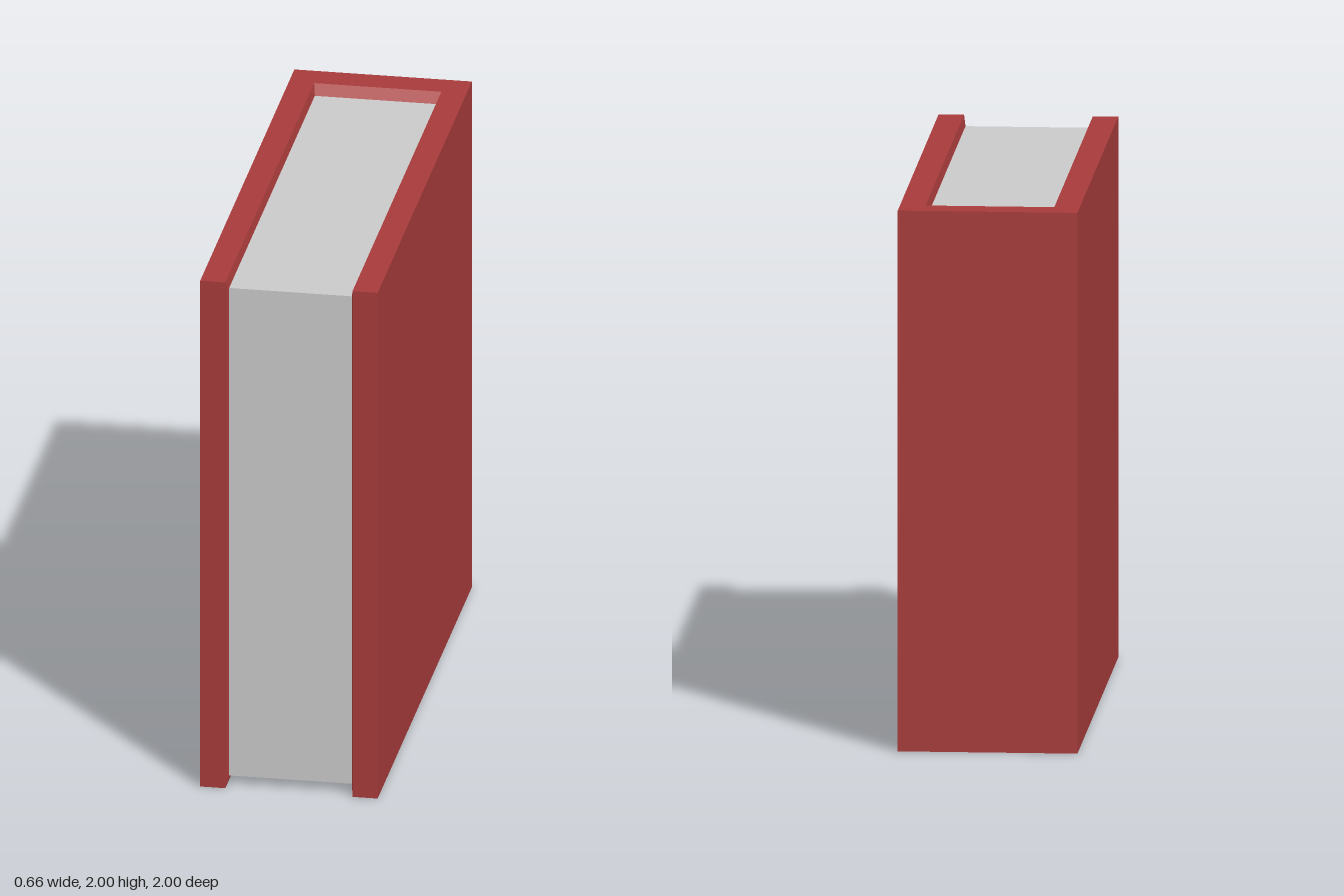
import * as THREE from 'three';

const RED = new THREE.MeshStandardMaterial({ color: 0xaa3c3c });
RED.name = 'red cover';
const GREY = new THREE.MeshStandardMaterial({ color: 0xcccccc });
GREY.name = 'grey paper';

// Eight-cornered loop around the open edges of the cover: over the top U,
// down one front edge, back along the bottom U and up the other front edge.
function edgeLoop(x, top, bottom, back, front) {
  return [
    [x, top, front], [x, top, back], [-x, top, back], [-x, top, front],
    [-x, bottom, front], [-x, bottom, back], [x, bottom, back], [x, bottom, front],
  ];
}

function quadMesh(name, quads, material) {
  const positions = [];
  for (const [a, b, c, d] of quads) positions.push(...a, ...b, ...c, ...a, ...c, ...d);
  const geometry = new THREE.BufferGeometry();
  geometry.setAttribute('position', new THREE.Float32BufferAttribute(positions, 3));
  geometry.computeVertexNormals();
  const mesh = new THREE.Mesh(geometry, material);
  mesh.name = name;
  return mesh;
}

// Band of flat quads joining two matching loops
function band(outer, inner) {
  return outer.map((p, i) => {
    const j = (i + 1) % outer.length;
    return [p, outer[j], inner[j], inner[i]];
  });
}

export function createModel() {
  const book = new THREE.Group();
  book.name = 'book';

  const outer = edgeLoop(0.328, 2, 0, -1, 1);
  const rim = edgeLoop(0.235, 2, 0, -0.887, 1);
  const inner = edgeLoop(0.227, 1.964, 0.036, -0.854, 0.964);

  // Hard cover: two boards and the spine, flat edges, and bevels down to the pages
  const skin = (...corners) => corners.map((i) => outer[i]);
  const cover = new THREE.Group();
  cover.name = 'cover';
  cover.add(
    quadMesh('leftBoard', [skin(0, 7, 6, 1)], RED),
    quadMesh('spine', [skin(1, 6, 5, 2)], RED),
    quadMesh('rightBoard', [skin(2, 5, 4, 3)], RED),
    quadMesh('coverEdges', band(outer, rim), RED),
    quadMesh('innerBevel', band(rim, inner), RED),
  );
  book.add(cover);

  // Page block, filling the cover
  const pages = new THREE.Mesh(new THREE.BoxGeometry(0.454, 1.928, 1.818), GREY);
  pages.name = 'pages';
  pages.position.set(0, 1, 0.055);
  book.add(pages);

  return book;
}
